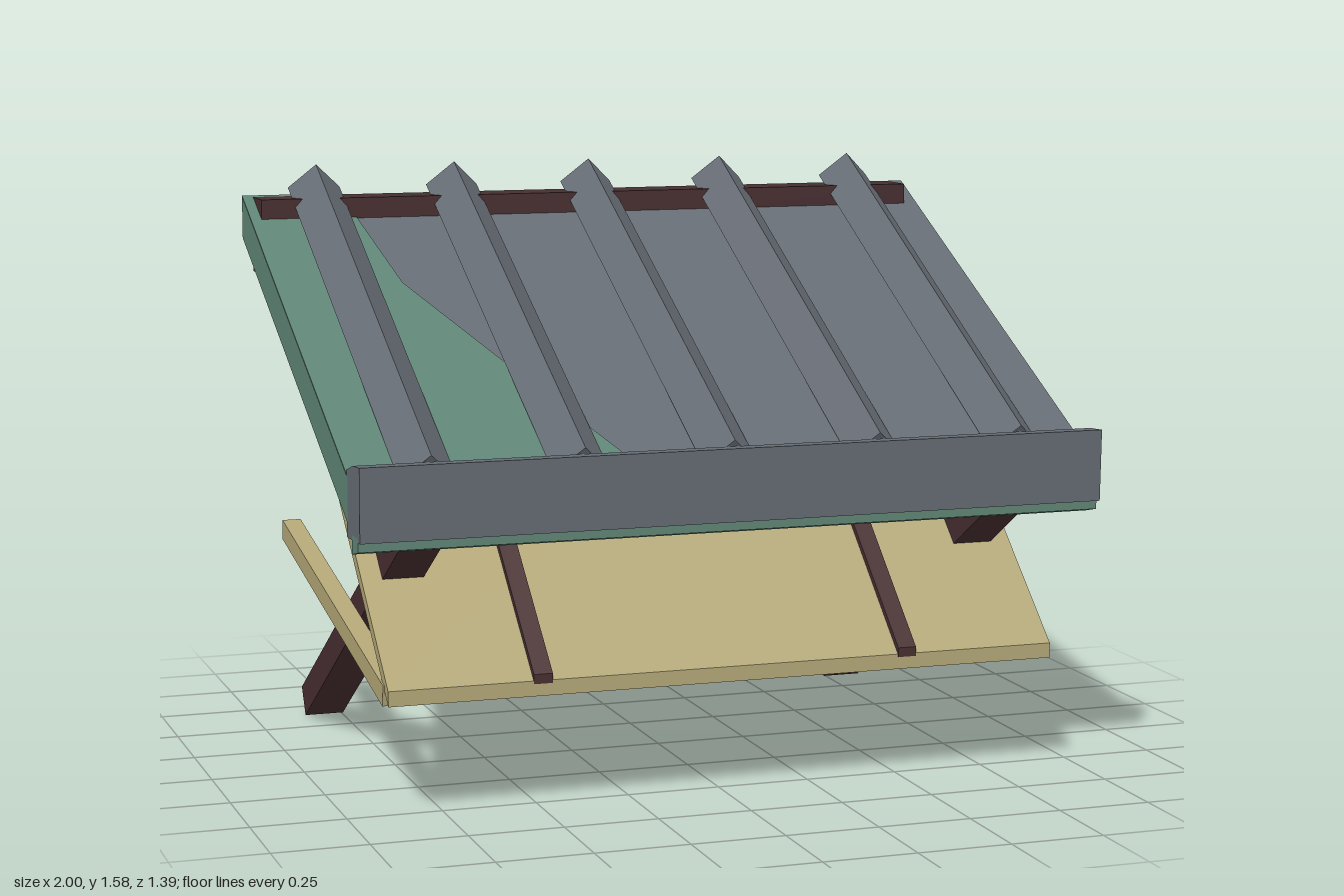
import * as THREE from 'three';

const mat = (name, color) => {
  const m = new THREE.MeshStandardMaterial({ color });
  m.name = name;
  return m;
};

export function createModel() {
  const group = new THREE.Group();
  const slate = mat('slate grey', 0x666c74);
  const green = mat('weathered green', 0x5f8575);
  const brown = mat('dark brown wood', 0x472e30);
  const tan = mat('pale wood', 0xb3a777);

  const add = (name, geometry, material) => {
    const mesh = new THREE.Mesh(geometry, material);
    mesh.name = name;
    group.add(mesh);
    return mesh;
  };

  // Prism with a side profile of [z, y] points, running from x0 to x1
  const prism = (name, profile, x0, x1, material) => {
    const shape = new THREE.Shape(profile.map(([z, y]) => new THREE.Vector2(z, y)));
    const g = new THREE.ExtrudeGeometry(shape, { depth: x1 - x0, bevelEnabled: false });
    g.rotateY(-Math.PI / 2).translate(x1, 0, 0);
    return add(name, g, material);
  };

  // Sloping band with upright ends; top and bottom are offsets from a line
  const band = (line, z0, z1, bottom, top) => [
    [z0, line(z0) + bottom], [z0, line(z0) + top],
    [z1, line(z1) + top], [z1, line(z1) + bottom],
  ];

  // Roof deck with a green lining and green right edge
  const roofTop = (z) => 1.157 - 0.484 * z;
  prism('roofDeck', band(roofTop, 0.56, -0.69, -0.098, 0), -0.97, 1, slate);
  prism('roofLining', band(roofTop, 0.56, -0.69, -0.116, -0.098), -0.97, 0.998, green);
  prism('roofEdge', band(roofTop, 0.56, -0.69, -0.116, 0), -1, -0.97, green);

  // Green patch lying on the deck
  const patch = new THREE.ShapeGeometry(new THREE.Shape([
    [-1, 0.69], [-0.72, 0.69], [-0.7, 0.57], [-0.65, 0.25],
    [-0.47, -0.12], [-0.33, -0.4], [-0.25, -0.56], [-1, -0.56],
  ].map(([x, y]) => new THREE.Vector2(x, y)).reverse()));
  patch.rotateX(-Math.PI / 2);
  const p = patch.attributes.position;
  for (let i = 0; i < p.count; i++) p.setY(i, roofTop(p.getZ(i)) + 0.003);
  patch.computeVertexNormals();
  add('roofPatch', patch, green);

  // Front fascia and the green strip under it
  prism('fascia', [[0.69, 0.93], [0.62, 0.925], [0.55, 0.905], [0.55, 0.735], [0.685, 0.74]], -1, 1, slate);
  prism('fasciaStrip', [[0.665, 0.75], [0.665, 0.715], [0.6, 0.7], [0.6, 0.75]], -1, 1, green);

  // Square battens set on edge along the slope
  const ribStart = new THREE.Vector3(0, 0.875, 0.585);
  const ribEnd = new THREE.Vector3(0, 1.515, -0.665);
  const ribDir = ribEnd.clone().sub(ribStart);
  for (let i = -2; i <= 2; i++) {
    const g = new THREE.CylinderGeometry(0.074, 0.074, ribDir.length(), 4).toNonIndexed();
    g.computeVertexNormals();
    const rib = add('roofRib', g, slate);
    rib.position.copy(ribStart).add(ribEnd).multiplyScalar(0.5);
    rib.position.x = i * 0.4;
    rib.quaternion.setFromUnitVectors(new THREE.Vector3(0, 1, 0), ribDir.clone().normalize());
  }

  // Ridge beam at the back
  prism('ridgeBeam', [[-0.57, 1.285], [-0.57, 1.49], [-0.693, 1.49], [-0.693, 1.28]], -0.97, 0.96, brown);

  // Slanted panel with two slats on its upper face
  const panelLine = (z) => 0.808 - 0.861 * z;
  prism('panel', band(panelLine, 0.587, -0.575, 0, 0.04), -0.91, 0.91, tan);
  for (const x of [-0.505, 0.495]) {
    prism('panelSlat', band(panelLine, 0.59, -0.575, 0.035, 0.06), x - 0.025, x + 0.025, brown);
  }

  // Struts and legs, one pair each side
  for (const s of [-1, 1]) {
    prism('strut', [[0.55, 0.35], [-0.63, 0.575], [-0.637, 0.52], [0.54, 0.295]],
      s * 0.888 - 0.026, s * 0.888 + 0.026, tan);
    prism('leg', [[0.47, 0.765], [0.515, 0.695], [-0.64, 0], [-0.682, 0.075]],
      s * 0.8 - 0.055, s * 0.8 + 0.055, brown);
  }
  return group;
}
